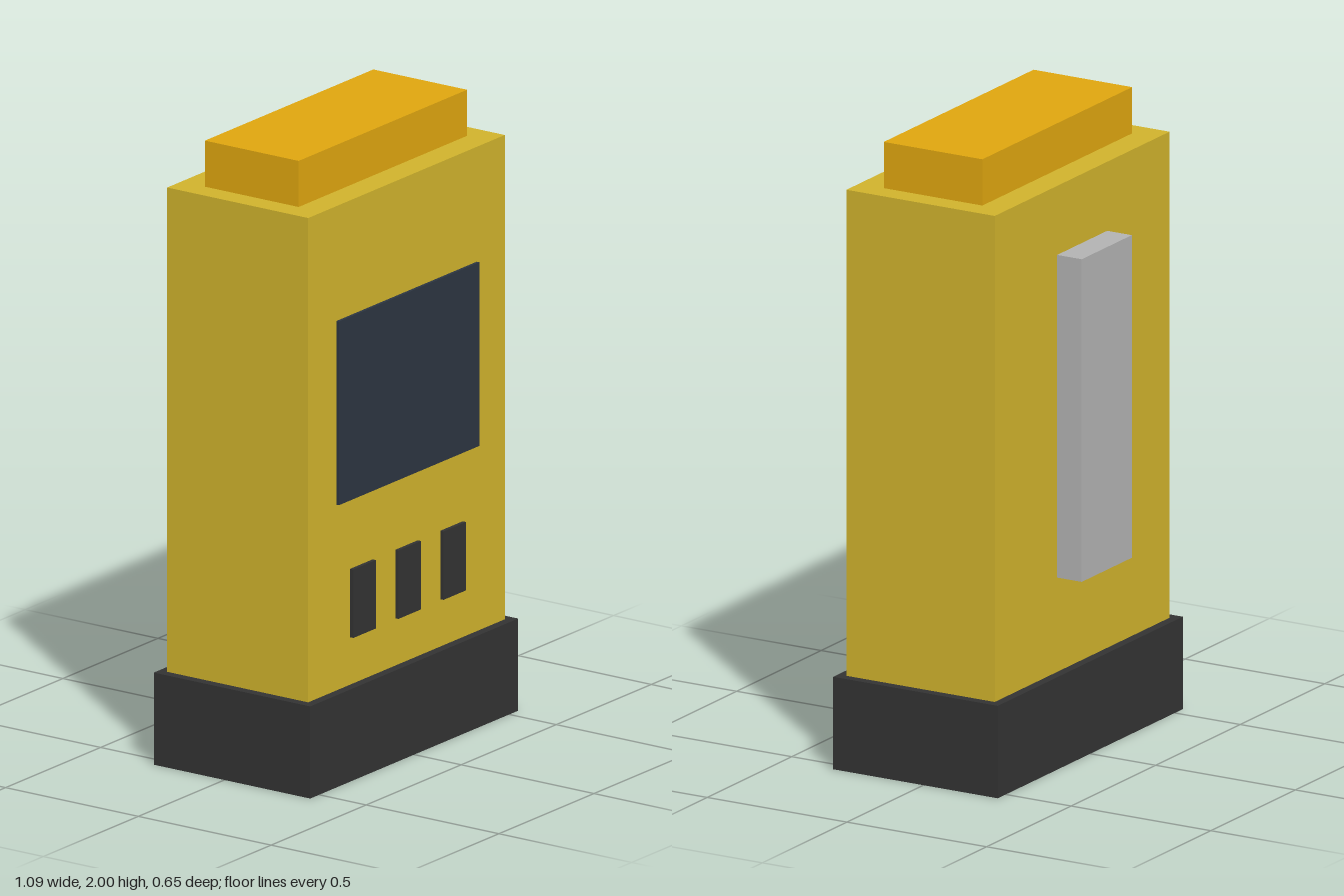
import * as THREE from 'three';

const paint = (color) => new THREE.MeshStandardMaterial({ color });

export function createModel() {
  const model = new THREE.Group();
  const yellow = paint(0xd0b32c);
  const amber = paint(0xdfa60f);
  const rubber = paint(0x333333);
  const glass = paint(0x2c3541);
  const steel = paint(0xb3b3b3);

  // Box given by its centre x, width, and y and z ranges
  function block(name, material, x, width, [y0, y1], [z0, z1]) {
    const mesh = new THREE.Mesh(new THREE.BoxGeometry(width, y1 - y0, z1 - z0), material);
    mesh.position.set(x, (y0 + y1) / 2, (z0 + z1) / 2);
    mesh.name = name;
    model.add(mesh);
  }

  // Housing with its dark foot and sensor cap
  block('base', rubber, 0, 1.094, [0, 0.296], [-0.266, 0.323]);
  block('body', yellow, 0, 1.034, [0.01, 1.852], [-0.237, 0.294]);
  block('topCap', amber, 0, 0.886, [1.852, 2], [-0.148, 0.205]);

  // Front panel: screen and a row of three buttons
  block('screen', glass, 0, 0.739, [0.893, 1.483], [0.28, 0.304]);
  for (const i of [-1, 0, 1]) {
    block('button', rubber, i * 0.237, 0.118, [0.448, 0.668], [0.28, 0.306]);
  }

  // Belt clip on the back
  block('backClip', steel, 0, 0.296, [0.598, 1.631], [-0.325, -0.237]);

  return model;
}
